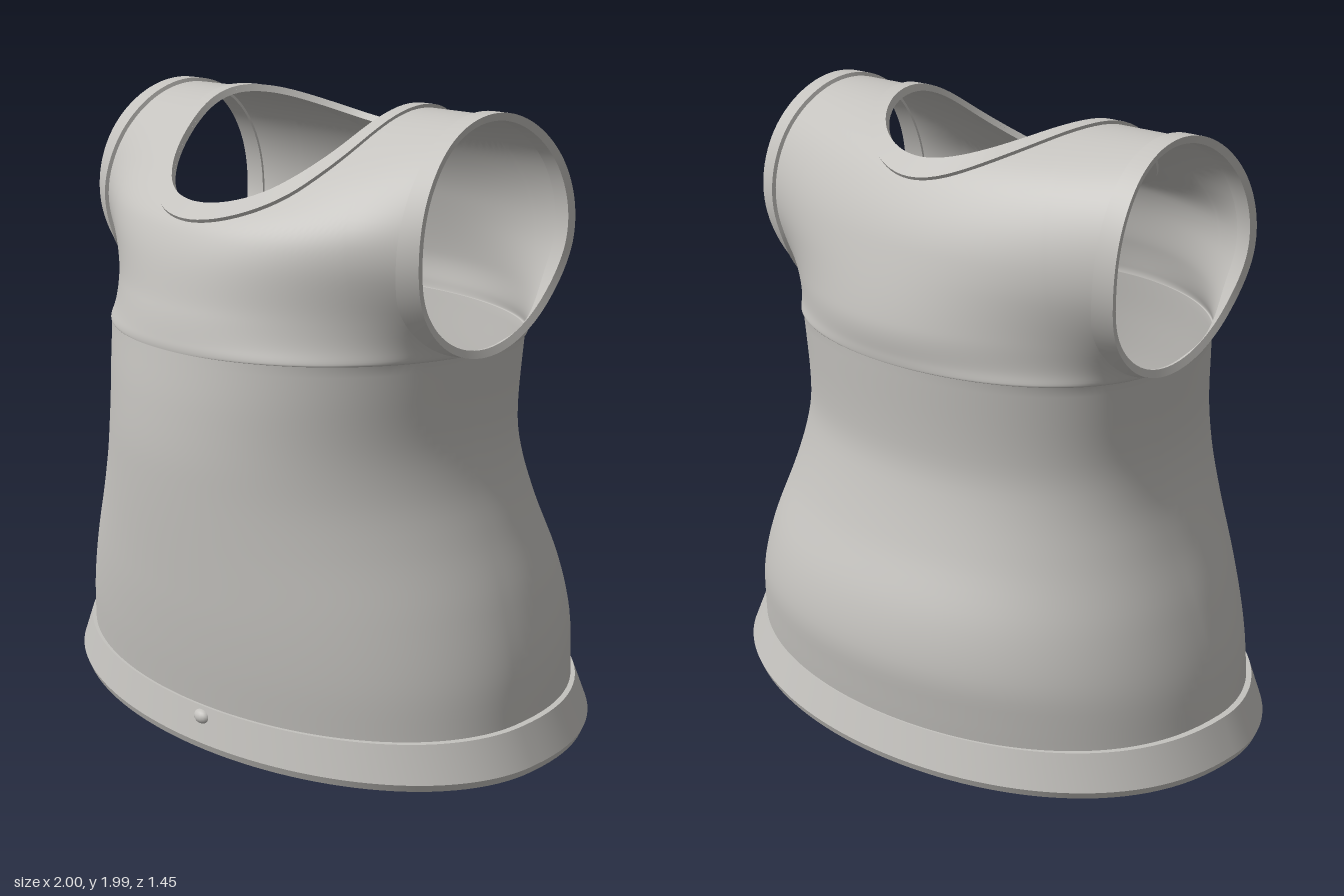
import * as THREE from 'three';
import { mergeGeometries, mergeVertices } from 'three/addons/utils/BufferGeometryUtils.js';

const { lerp, smoothstep } = THREE.MathUtils;
const ARM_Y = 1.27, ARM_R = 0.355;            // underarm height, half armhole height
const NECK = { rx: 0.39, rz: 0.43, z: 0.09 }; // neck opening seen from above

// Smooth interpolation through [position, value] pairs
function curve(pts) {
  const slope = (i) => {
    const a = pts[Math.max(i - 1, 0)], b = pts[Math.min(i + 1, pts.length - 1)];
    return (b[1] - a[1]) / (b[0] - a[0]);
  };
  return (p) => {
    let i = 0;
    while (i < pts.length - 2 && p > pts[i + 1][0]) i++;
    const [p0, v0] = pts[i], [p1, v1] = pts[i + 1], d = p1 - p0;
    const t = Math.min(Math.max((p - p0) / d, 0), 1), t2 = t * t, t3 = t2 * t;
    return (2 * t3 - 3 * t2 + 1) * v0 + (t3 - 2 * t2 + t) * d * slope(i)
      + (3 * t2 - 2 * t3) * v1 + (t3 - t2) * d * slope(i + 1);
  };
}

// Half width by height
const width = curve([[0.1, 0.935], [0.3, 0.905], [0.5, 0.845], [0.7, 0.765], [0.85, 0.715], [1, 0.693],
  [1.2, 0.703], [1.4, 0.725], [1.6, 0.757], [1.8, 0.757], [1.98, 0.735]]);
// Centre-line depth: by height below the arms, by armhole angle (in eighths of a half turn) above
const lowDepth = {
  1: curve([[0.1, 0.68], [0.3, 0.7], [0.5, 0.713], [0.9, 0.724], [1.1, 0.712], [1.27, 0.69]]),
  [-1]: curve([[0.1, -0.685], [0.22, -0.7], [0.35, -0.71], [0.5, -0.68], [0.7, -0.6], [0.9, -0.54],
    [1, -0.53], [1.27, -0.545]]),
};
const highDepth = {
  1: curve([[0, 0.69], [1, 0.688], [2.25, 0.662], [4, 0.585], [5, 0.43], [6, 0.265], [7, 0.13], [8, 0]]),
  [-1]: curve([[0, -0.545], [1, -0.548], [2.25, -0.55], [4, -0.49], [5, -0.425], [6, -0.325], [7, -0.17], [8, 0]]),
};

// Cross-section point: u = 0 on the centre line, 1 at the side
function section(w, depth, edge, u, y, power) {
  return new THREE.Vector3(w * u, y, edge + (depth - edge) * Math.pow(Math.max(1 - u * u, 0), power));
}
const basePower = (side) => (side > 0 ? 0.5 : 0.44);
const seam = (y) => lerp(0.05, 0, smoothstep(y, 0, 1.1));

function lower(side, y, u) {
  return section(width(y), lowDepth[side](y), seam(y), u, y, basePower(side));
}
// Surface above the underarm, by the angle around the armhole (0 bottom, PI shoulder)
function upper(side, phi, u) {
  const y = ARM_Y + ARM_R * (1 - Math.cos(phi));
  const edge = side * (side > 0 ? 0.33 : 0.32) * Math.sin(phi);
  const power = lerp(basePower(side), 1.2, smoothstep(phi, 0, 1.3));
  return section(width(y), highDepth[side](phi * 8 / Math.PI), edge, u, y, power);
}

// Point of the neckline, widened by grow, dropped onto the surface
function neckPoint(alpha, grow = 0) {
  const x = (NECK.rx + grow) * Math.sin(alpha);
  const z = NECK.z + (NECK.rz + grow) * Math.cos(alpha);
  const side = z >= 0 ? 1 : -1;
  const at = (phi) => {
    const u = x / width(ARM_Y + ARM_R * (1 - Math.cos(phi)));
    return { phi, u, point: upper(side, phi, u) };
  };
  let lo = 1.2, hi = Math.PI;
  for (let i = 0; i < 40; i++) {
    const mid = (lo + hi) / 2;
    if (at(mid).point.z * side > z * side) lo = mid; else hi = mid;
  }
  return at((lo + hi) / 2);
}

function makeGeometry(positions, index) {
  const g = new THREE.BufferGeometry();
  g.setAttribute('position', new THREE.Float32BufferAttribute(positions, 3));
  g.setIndex(index);
  return g;
}

// Front or back half: columns run from hem to neckline or shoulder ridge
function panel(side) {
  const half = 40, low = 36, high = 44, split = 0.6, rows = low + high + 1;
  const ridge = Math.acos(-NECK.z / NECK.rz);
  const ridgeU = NECK.rx * Math.sin(ridge) / width(1.98);
  const positions = [], index = [];
  for (let i = -half; i <= half; i++) {
    const s = Math.abs(i) / half, sign = Math.sign(i);
    const u0 = Math.sin(s * Math.PI / 2);
    let phiTop = Math.PI, uTop = lerp(ridgeU, 1, (s - split) / (1 - split));
    if (s < split - 1e-6) {
      const a = s / split;
      const n = neckPoint(side > 0 ? a * ridge : Math.PI - a * (Math.PI - ridge));
      phiTop = n.phi;
      uTop = n.u;
    }
    for (let j = 0; j < rows; j++) {
      const t = (j - low) / high;
      const p = j < low ? lower(side, lerp(0.1, ARM_Y, j / low), u0)
        : upper(side, phiTop * t, lerp(u0, uTop, t * t));
      positions.push(p.x * (sign || 1), p.y, p.z);
    }
  }
  for (let i = 0; i < 2 * half; i++) {
    for (let j = 0; j < rows - 1; j++) {
      const a = i * rows + j, b = a + rows, c = b + 1, d = a + 1;
      if (side > 0) index.push(a, b, c, a, c, d);
      else index.push(a, c, b, a, d, c);
    }
  }
  return makeGeometry(positions, index);
}

// Closed band: station(angle) returns the corners of its cross-section; corners stay sharp
function band(station, steps = 96) {
  const rings = Array.from({ length: steps }, (_, i) => station(i / steps * Math.PI * 2));
  const n = rings[0].length, positions = [], index = [];
  for (let k = 0; k < n; k++) {
    const base = k * steps * 2;
    rings.forEach((r, i) => {
      positions.push(...r[k].toArray(), ...r[(k + 1) % n].toArray());
      const a = base + i * 2, b = base + ((i + 1) % steps) * 2;
      index.push(a, b, b + 1, a, b + 1, a + 1);
    });
  }
  const g = makeGeometry(positions, index);
  g.computeVertexNormals();
  return g;
}

// Trim cross-section lying over the edge from inner point b to rim a
function trim(a, b, n, raise, sink) {
  const off = (p, d) => p.clone().addScaledVector(n, d);
  return [off(b, 0), off(b, raise), off(a, raise), off(a, -sink), off(b, -sink)];
}

export function createModel() {
  const fabric = new THREE.MeshStandardMaterial({ color: 0xc4c2be, side: THREE.DoubleSide });
  fabric.name = 'light grey fabric';
  const model = new THREE.Group();
  model.name = 'sleevelessTop';
  const add = (name, geometry) => {
    const mesh = new THREE.Mesh(geometry, fabric);
    mesh.name = name;
    model.add(mesh);
    return mesh;
  };

  // Body, welded along side seams and shoulders
  const body = mergeVertices(mergeGeometries([panel(1), panel(-1)]), 1e-4);
  body.computeVertexNormals();
  add('body', body);

  // Armhole trims
  for (const sx of [1, -1]) {
    add(sx > 0 ? 'leftArmTrim' : 'rightArmTrim', band((angle) => {
      const side = angle <= Math.PI ? 1 : -1;
      const phi = side > 0 ? angle : Math.PI * 2 - angle;
      const a = upper(side, phi, 1), b = upper(side, phi, 1 - 0.075 * smoothstep(phi, 0.3, 1.2));
      const n = new THREE.Vector3(0.35, -Math.cos(phi), side * Math.sin(phi)).normalize();
      a.x += 0.008;
      return trim(a, b, n, 0.013, 0.012).map((p) => p.setX(p.x * sx));
    }));
  }

  // Neck trim
  add('neckTrim', band((angle) => {
    const n = new THREE.Vector3(Math.sin(angle) * 0.3, 0.9, Math.cos(angle) * 0.6).normalize();
    return trim(neckPoint(angle).point, neckPoint(angle, 0.05).point, n, 0.012, 0.012);
  }));

  // Flared hem: half width, front depth, back depth, height of each corner
  const corners = [[0.93, 0.675, -0.68, 0.14], [0.95, 0.692, -0.695, 0.14], [1, 0.715, -0.73, 0.025],
    [0.99, 0.705, -0.72, 0], [0.955, 0.672, -0.687, 0], [0.925, 0.668, -0.673, 0.1]];
  add('hem', band((angle) => {
    const side = Math.cos(angle) >= 0 ? 1 : -1;
    return corners.map(([w, f, b, y]) =>
      section(w, side > 0 ? f : b, 0.05, Math.sin(angle), y, basePower(side)));
  }, 128));

  // Small knot at the front of the hem
  const knot = add('hemKnot', new THREE.SphereGeometry(0.03, 16, 12));
  knot.position.set(0.175, 0.105, 0.68);
  knot.scale.set(1.1, 0.8, 0.8);

  return model;
}
